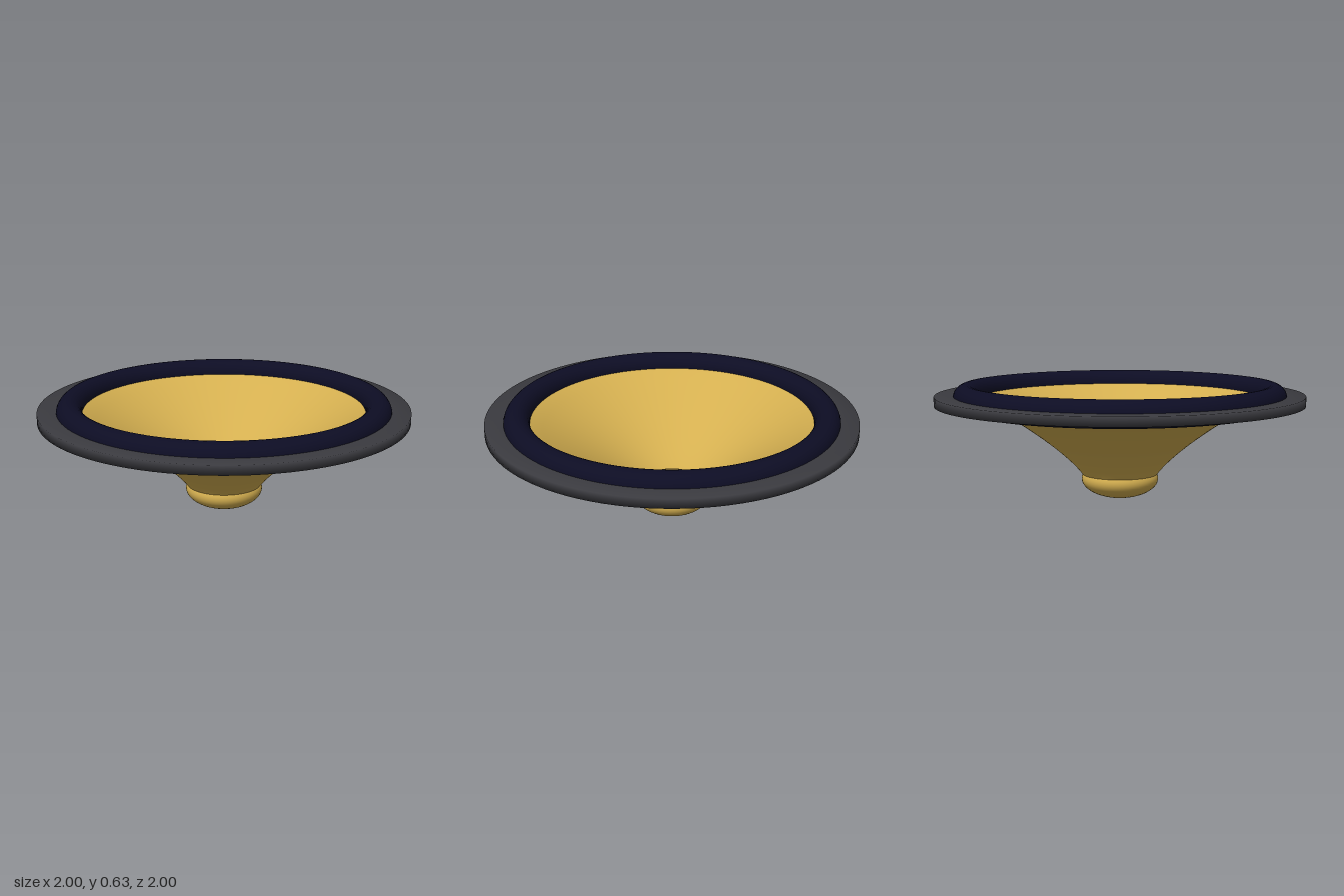
import * as THREE from 'three';

const gold = new THREE.MeshStandardMaterial({ color: 0xd4af50, side: THREE.DoubleSide });
gold.name = 'gold';
const navy = new THREE.MeshStandardMaterial({ color: 0x0d0d24 });
navy.name = 'navy rubber';
const grey = new THREE.MeshStandardMaterial({ color: 0x3a3a3f });
grey.name = 'dark grey';

const SEGMENTS = 96;
const v = (r, y) => new THREE.Vector2(r, y);

export function createModel() {
  const group = new THREE.Group();
  group.name = 'speakerCone';

  const add = (name, geometry, material) => {
    const mesh = new THREE.Mesh(geometry, material);
    mesh.name = name;
    group.add(mesh);
    return mesh;
  };

  // Flared open cone, flattening slightly where it meets the surround
  const flare = new THREE.QuadraticBezierCurve(v(0.205, 0.13), v(0.32, 0.285), v(0.735, 0.54));
  add('cone', new THREE.LatheGeometry([...flare.getPoints(20), v(0.775, 0.56)], SEGMENTS), gold);

  // Flattened dust cap closing the throat
  const cap = add('dustCap', new THREE.SphereGeometry(0.21, 48, 32), gold);
  cap.scale.y = 0.5;
  cap.position.y = 0.105;

  // Rounded rubber surround
  const surround = add('surround', new THREE.TorusGeometry(0.83, 0.07, 24, SEGMENTS), navy);
  surround.rotation.x = Math.PI / 2;
  surround.position.y = 0.56;

  // Thin outer mounting ring, softly shaded across its edges
  const ring = [v(0.88, 0.52), v(1, 0.52), v(1, 0.57), v(0.88, 0.57)];
  add('mountingRing', new THREE.LatheGeometry(ring, SEGMENTS), grey);

  return group;
}
